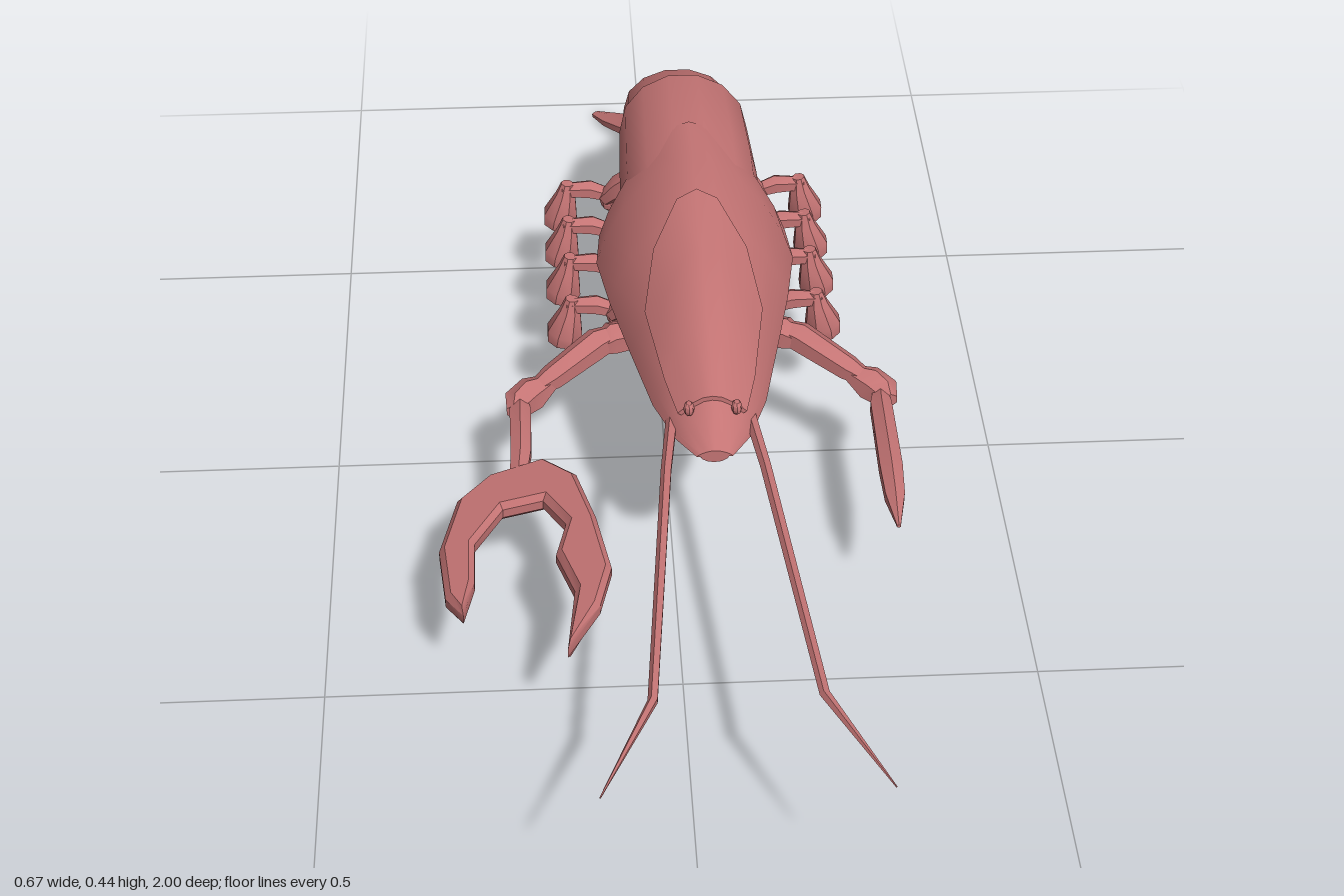
import * as THREE from 'three';
import { toCreasedNormals } from 'three/addons/utils/BufferGeometryUtils.js';

const CX = 0.05; // the body axis sits slightly to the left of centre
const V = (x, y, z) => new THREE.Vector3(x, y, z);
const shell = new THREE.MeshStandardMaterial({ color: 0xc47474, side: THREE.DoubleSide });

function add(parent, name, geometry) {
  const mesh = new THREE.Mesh(toCreasedNormals(geometry, 0.6), shell);
  mesh.name = name;
  parent.add(mesh);
  return mesh;
}

// Skin a list of equal-length rings, closed at both ends
function loft(rings) {
  const n = rings[0].length, pos = [], idx = [];
  rings.forEach(r => r.forEach(p => pos.push(p.x, p.y, p.z)));
  for (let i = 0; i < rings.length - 1; i++) {
    for (let j = 0; j < n; j++) {
      const a = i * n + j, b = i * n + (j + 1) % n;
      idx.push(a, b, a + n, b, b + n, a + n);
    }
  }
  [0, rings.length - 1].forEach((i, end) => {
    const c = rings[i].reduce((s, p) => s.add(p), V(0, 0, 0)).divideScalar(n);
    const k = pos.length / 3;
    pos.push(c.x, c.y, c.z);
    for (let j = 0; j < n; j++) {
      const a = i * n + j, b = i * n + (j + 1) % n;
      if (end) idx.push(k, a, b); else idx.push(k, b, a);
    }
  });
  const g = new THREE.BufferGeometry();
  g.setAttribute('position', new THREE.Float32BufferAttribute(pos, 3));
  g.setIndex(idx);
  return g;
}

// Limb through stations [x, y, z, halfWidth, halfHeight]
function limb(stations, sides = 6) {
  const pts = stations.map(s => V(s[0], s[1], s[2]));
  return loft(stations.map((s, i) => {
    const t = pts[Math.min(i + 1, pts.length - 1)].clone().sub(pts[Math.max(i - 1, 0)]).normalize();
    const ref = Math.abs(t.y) > 0.9 ? V(0, 0, 1) : V(0, 1, 0);
    const side = ref.cross(t).normalize();
    const up = t.clone().cross(side);
    return Array.from({ length: sides }, (_, j) => {
      const a = ((j + 0.5) / sides) * Math.PI * 2;
      return pts[i].clone()
        .addScaledVector(side, Math.cos(a) * s[3])
        .addScaledVector(up, Math.sin(a) * (s[4] ?? s[3]));
    });
  }));
}

// Carapace stations: z, half width, top, rim, bottom
const CARAPACE = [
  [0.37, 0.025, 0.318, 0.308, 0.298], [0.33, 0.052, 0.35, 0.308, 0.28],
  [0.25, 0.08, 0.385, 0.305, 0.25], [0.12, 0.107, 0.415, 0.3, 0.225],
  [0, 0.132, 0.436, 0.3, 0.215], [-0.1, 0.148, 0.44, 0.3, 0.215],
  [-0.16, 0.144, 0.438, 0.3, 0.22], [-0.3, 0.115, 0.433, 0.3, 0.235],
];
function carapacePoint(u, v, z, grow = 0) {
  let i = 0;
  while (i < CARAPACE.length - 2 && CARAPACE[i + 1][0] > z) i++;
  const a = CARAPACE[i], b = CARAPACE[i + 1];
  const f = (a[0] - z) / (a[0] - b[0]);
  const [w, top, rim, bottom] = [1, 2, 3, 4].map(k => a[k] + (b[k] - a[k]) * f);
  return V(CX + u * (w + grow), rim + v * (v > 0 ? top - rim + grow : rim - bottom), z);
}
const BACK = [[-1, 0], [-0.92, 0.22], [-0.73, 0.52], [-0.5, 0.76], [-0.2, 0.96],
  [0, 1], [0.2, 0.96], [0.5, 0.76], [0.73, 0.52], [0.92, 0.22], [1, 0]];
const BELLY = [[0.78, -0.05], [0.68, -0.45], [0.38, -0.88], [0, -1],
  [-0.38, -0.88], [-0.68, -0.45], [-0.78, -0.05]];

function abdomenRing([z, w, top, bottom, sweep = 0]) {
  const mid = (top + bottom) / 2, h = (top - bottom) / 2;
  return Array.from({ length: 14 }, (_, j) => {
    const a = (j / 14) * Math.PI * 2, s = Math.sin(a);
    return V(CX - Math.cos(a) * w, mid + s * h, z - sweep * Math.max(s, 0));
  });
}

export function createModel() {
  const model = new THREE.Group();
  model.name = 'crustacean';

  // Head and back shell, its rear edge swept to a point
  add(model, 'carapace', loft([0.37, 0.33, 0.25, 0.12, 0, -0.1, -0.17].map(z =>
    [...BACK, ...BELLY].map(([u, v]) =>
      carapacePoint(u, v, z - (z < 0.05 ? (0.05 - z) * 0.48 * Math.max(v, 0) : 0))))));

  // Raised kite-shaped plate on the head
  const plate = BACK.slice(2, 9);
  add(model, 'headPlate', loft([0.31, 0.25, 0.18, 0.11].map((z, i) => [
    ...plate.map(([u, v]) => carapacePoint(u, v, z - i * 0.13 * (v - 0.52), 0.007)),
    ...plate.slice().reverse().map(([u, v]) =>
      carapacePoint(u, v, z - i * 0.13 * (v - 0.52), -0.006)),
  ])));

  // Overlapping abdomen segments
  [
    [[-0.1, 0.108, 0.42, 0.218], [-0.28, 0.106, 0.433, 0.235], [-0.42, 0.101, 0.41, 0.24, 0.03]],
    [[-0.39, 0.096, 0.406, 0.236], [-0.5, 0.093, 0.37, 0.222], [-0.59, 0.088, 0.322, 0.196, 0.015]],
    [[-0.56, 0.08, 0.33, 0.205], [-0.66, 0.07, 0.262, 0.155], [-0.71, 0.067, 0.215, 0.125, 0.01]],
    [[-0.68, 0.064, 0.235, 0.14], [-0.79, 0.056, 0.122, 0.065], [-0.85, 0.051, 0.065, 0.028],
      [-0.89, 0.045, 0.04, 0.016]],
  ].forEach((s, i) => add(model, 'abdomenSegment' + (i + 1), loft(s.map(abdomenRing))));

  // Tail fan
  add(model, 'telson', limb([[CX, 0.04, -0.85, 0.026, 0.012], [CX, 0.026, -0.92, 0.022, 0.01],
    [CX, 0.023, -1, 0.014, 0.005]]));

  for (const m of [1, -1]) {
    const side = m > 0 ? 'left' : 'right';
    const off = stations => stations.map(([x, ...rest]) => [CX + m * x, ...rest]);

    add(model, side + 'TailLobe', limb(off([[0.025, 0.06, -0.82, 0.032, 0.016],
      [0.06, 0.036, -0.875, 0.034, 0.013], [0.1, 0.018, -0.925, 0.022, 0.01],
      [0.127, 0.008, -0.96, 0.009, 0.005]])));

    // Antenna and eye
    add(model, side + 'Antenna', limb(off([[0.05, 0.312, 0.25, 0.009], [0.068, 0.312, 0.4, 0.008],
      [0.107, 0.311, 0.84, 0.007], [0.178, 0.31, 1, 0.001]]), 5));
    const eye = add(model, side + 'Eye', new THREE.SphereGeometry(0.011, 8, 6));
    eye.position.set(CX + m * 0.033, 0.352, 0.318);
    eye.scale.set(0.7, 1, 1);

    // Four swimming legs: hip, connector and bell-shaped foot
    [-0.11, -0.22, -0.32, -0.42].forEach((z, i) => {
      const leg = new THREE.Group();
      leg.name = side + 'Leg' + (i + 1);
      model.add(leg);
      add(leg, 'hip', limb(off([[0.07, 0.265, z + 0.03, 0.018], [0.1, 0.235, z + 0.02, 0.02],
        [0.125, 0.2, z + 0.005, 0.013]])));
      add(leg, 'knee', new THREE.SphereGeometry(0.017, 8, 6)).position.set(CX + m * 0.117, 0.192, z);
      add(leg, 'shin', limb(off([[0.11, 0.2, z, 0.011], [0.15, 0.215, z, 0.016],
        [0.195, 0.215, z, 0.012]])));
      add(leg, 'foot', limb(off([[0.186, 0.228, z, 0.01], [0.189, 0.205, z, 0.017],
        [0.198, 0.168, z, 0.029], [0.202, 0.15, z, 0.025], [0.203, 0.143, z, 0.012]]), 8));
    });

    // Arm: shoulder, upper arm and elbow
    add(model, side + 'Shoulder', limb(off([[0.05, 0.235, -0.02, 0.022, 0.02],
      [0.13, 0.238, 0.005, 0.026, 0.026], [0.15, 0.232, 0.015, 0.016]])));
    add(model, side + 'UpperArm', limb(off([[0.12, 0.243, 0, 0.016], [0.15, 0.236, 0.012, 0.024],
      [0.22, 0.207, 0.055, 0.02], [0.245, 0.198, 0.07, 0.013]])));
    add(model, side + 'Elbow', limb(off([[0.22, 0.203, 0.06, 0.013], [0.25, 0.19, 0.07, 0.027],
      [0.272, 0.182, 0.085, 0.024], [0.278, 0.182, 0.105, 0.012]])));
  }

  // Slim blade on the left arm
  add(model, 'leftBlade', limb([[0.315, 0.184, 0.08, 0.011], [0.312, 0.185, 0.12, 0.018],
    [0.311, 0.183, 0.26, 0.019], [0.31, 0.181, 0.32, 0.016], [0.309, 0.178, 0.38, 0.003]]));

  // Forearm and large tilted claw on the right arm
  add(model, 'rightForearm', limb([[-0.218, 0.184, 0.08, 0.012], [-0.218, 0.185, 0.11, 0.018],
    [-0.218, 0.183, 0.2, 0.017], [-0.222, 0.18, 0.25, 0.014]]));
  const outline = [[-0.265, 0.24], [-0.185, 0.23], [-0.14, 0.28], [-0.115, 0.38], [-0.097, 0.49],
    [-0.115, 0.56], [-0.16, 0.63], [-0.148, 0.52], [-0.172, 0.44], [-0.157, 0.38], [-0.188, 0.32],
    [-0.245, 0.32], [-0.285, 0.38], [-0.285, 0.46], [-0.3, 0.52], [-0.325, 0.48], [-0.335, 0.38],
    [-0.31, 0.28]];
  const claw = new THREE.ExtrudeGeometry(
    new THREE.Shape(outline.map(([x, z]) => new THREE.Vector2(x, -z))),
    { depth: 0.014, bevelEnabled: true, bevelThickness: 0.009, bevelSize: 0.008,
      bevelOffset: -0.008, bevelSegments: 1 });
  claw.rotateX(-Math.PI / 2);
  const p = claw.attributes.position;
  for (let i = 0; i < p.count; i++) {
    p.setY(i, p.getY(i) + 0.145 + 0.25 * (p.getX(i) + 0.33));
  }
  claw.computeVertexNormals();
  add(model, 'rightClaw', claw);

  return model;
}
